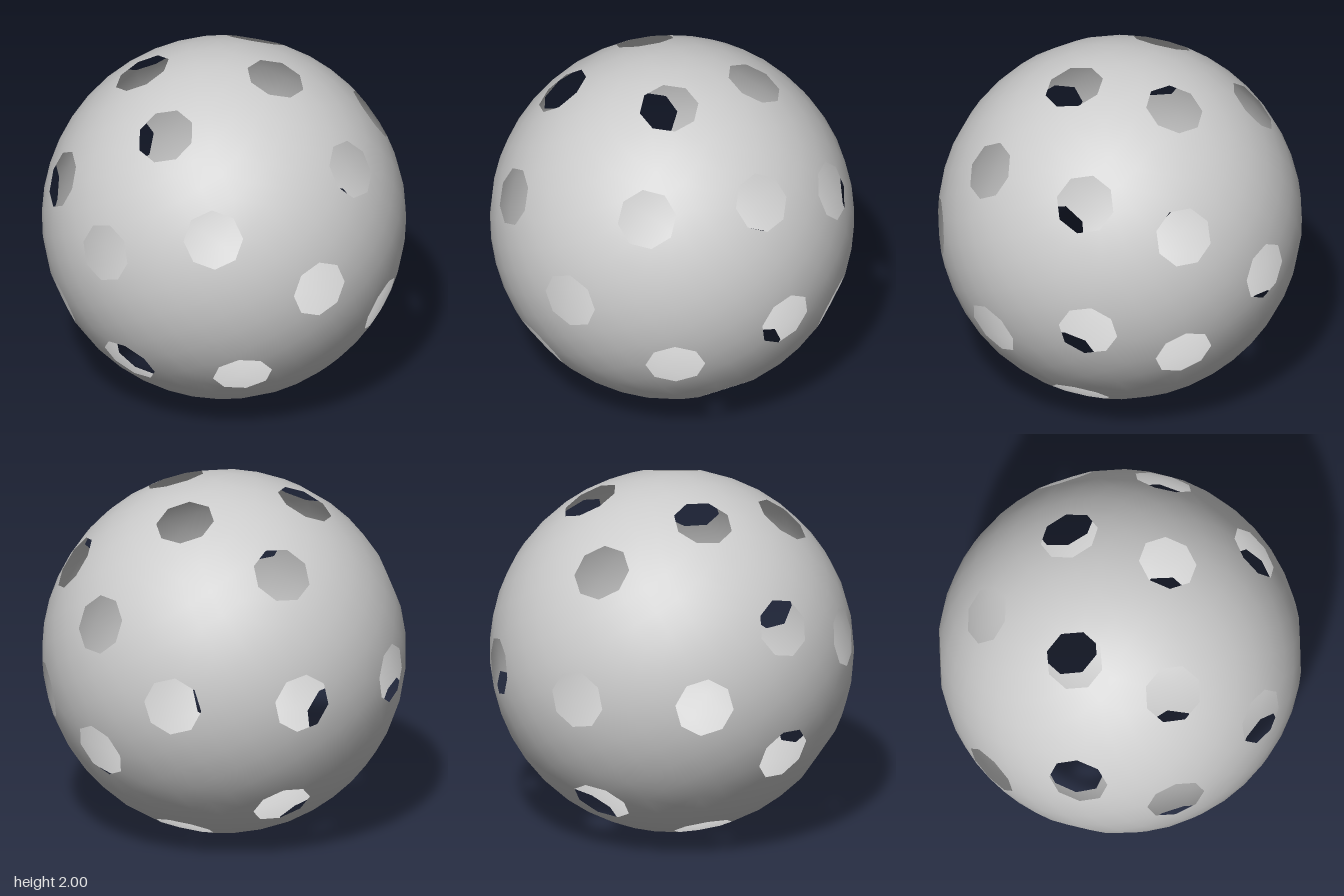
import * as THREE from 'three';
import { ConvexGeometry } from 'three/addons/geometries/ConvexGeometry.js';

const HOLE_RADIUS = 0.164;
const HOLE_SIDES = 8;
const SKIN_POINTS = 620;

// Rings of holes around the z axis: [degrees from +z, count, first angle]
const RINGS = [
  [0, 1, 0],
  [40.5, 4, 57],
  [74.2, 8, 35],
  [105.5, 8, 22.5],
  [137.8, 4, 0],
  [180, 1, 0],
];

function direction(polarDeg, aroundDeg) {
  const p = THREE.MathUtils.degToRad(polarDeg);
  const a = THREE.MathUtils.degToRad(aroundDeg);
  return new THREE.Vector3(Math.sin(p) * Math.cos(a), Math.sin(p) * Math.sin(a), Math.cos(p));
}

// Corner points of one hole's rim, lying on the unit sphere
function rimPoints(centre, phase) {
  const turn = new THREE.Quaternion().setFromUnitVectors(new THREE.Vector3(0, 0, 1), centre);
  const depth = Math.sqrt(1 - HOLE_RADIUS ** 2);
  return Array.from({ length: HOLE_SIDES }, (_, i) => {
    const a = phase + (i / HOLE_SIDES) * Math.PI * 2;
    return new THREE.Vector3(HOLE_RADIUS * Math.cos(a), HOLE_RADIUS * Math.sin(a), depth)
      .applyQuaternion(turn);
  });
}

function perforatedSphere() {
  const holes = [];
  for (const [polar, count, start] of RINGS) {
    for (let i = 0; i < count; i++) holes.push(direction(polar, start + (i * 360) / count));
  }
  const points = holes.flatMap((h, i) => rimPoints(h, i * 0.37));

  // Evenly spread skin points, kept clear of the holes
  const clear = Math.cos(Math.asin(HOLE_RADIUS) * 1.3);
  for (let i = 0; i < SKIN_POINTS; i++) {
    const y = 1 - (2 * i + 1) / SKIN_POINTS;
    const r = Math.sqrt(1 - y * y);
    const a = i * Math.PI * (3 - Math.sqrt(5));
    const p = new THREE.Vector3(r * Math.cos(a), y, r * Math.sin(a));
    if (holes.every((h) => h.dot(p) < clear)) points.push(p);
  }

  // The hull joins all points; faces that cap a hole are left out
  const hull = new ConvexGeometry(points).getAttribute('position');
  const rimLimit = Math.sqrt(1 - HOLE_RADIUS ** 2) - 0.001;
  const kept = [];
  for (let i = 0; i < hull.count; i += 3) {
    const tri = [0, 1, 2].map((k) => new THREE.Vector3().fromBufferAttribute(hull, i + k));
    const caps = holes.some((h) => tri.every((v) => h.dot(v) > rimLimit));
    if (!caps) tri.forEach((v) => kept.push(v.x, v.y, v.z));
  }
  const geometry = new THREE.BufferGeometry();
  geometry.setAttribute('position', new THREE.Float32BufferAttribute(kept, 3));
  // On a unit sphere the smooth normals equal the positions
  geometry.setAttribute('normal', new THREE.Float32BufferAttribute(kept, 3));
  return geometry;
}

export function createModel() {
  const group = new THREE.Group();
  group.name = 'perforatedBall';
  const plastic = new THREE.MeshStandardMaterial({ color: 0xcccccc, side: THREE.DoubleSide });
  plastic.name = 'pale grey plastic';

  // Thin hollow shell with holes all round
  const shell = new THREE.Mesh(perforatedSphere(), plastic);
  shell.name = 'ballShell';
  shell.position.y = 1;
  group.add(shell);
  return group;
}
